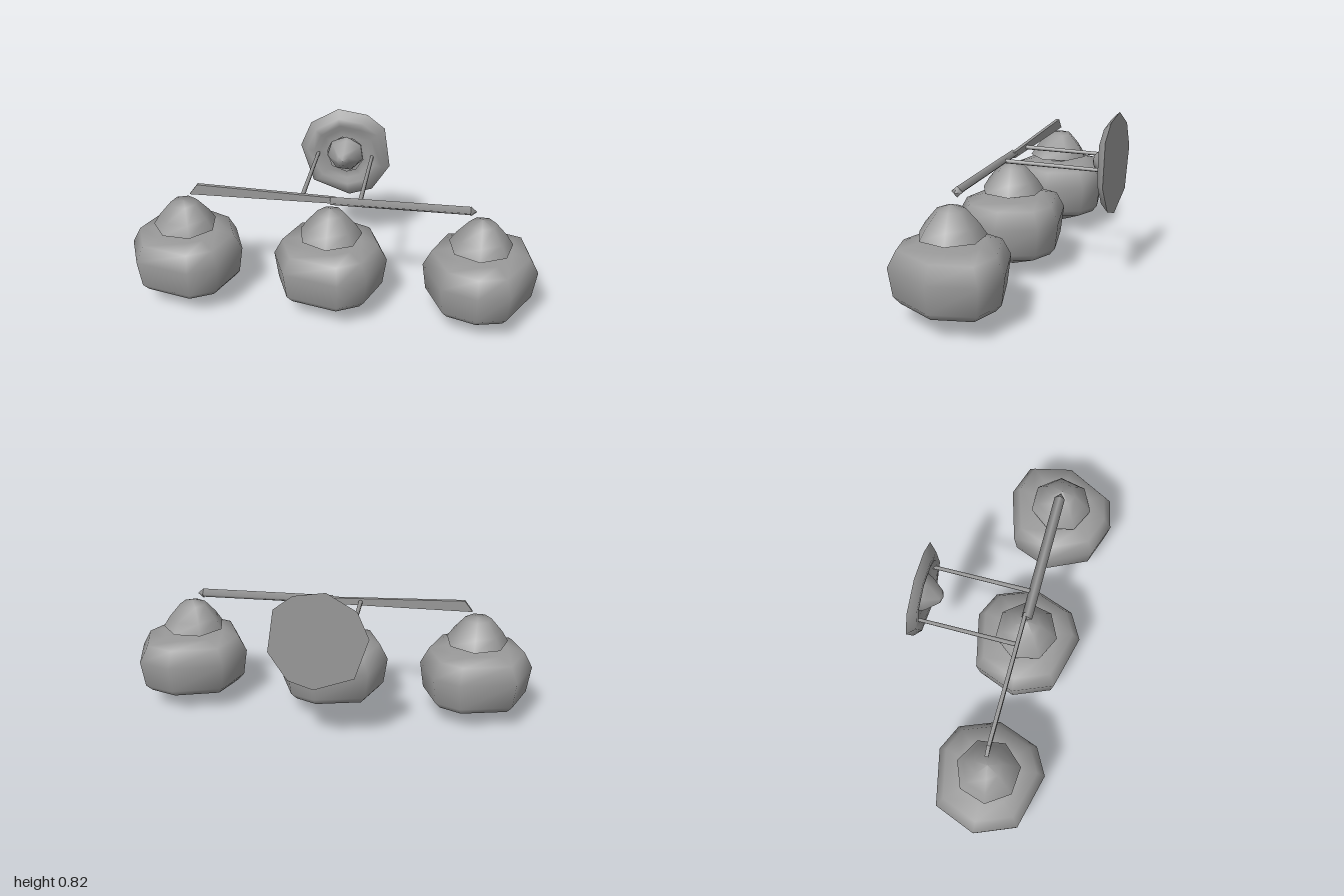
import * as THREE from 'three';

// Joins scaled copies of an outline at [height, scale] levels.
// Repeating a level gives a sharp edge there.
function loft(outline, levels) {
  const n = outline.length, pos = [], index = [];
  for (const [y, s] of levels) for (const [x, z] of outline) pos.push(x * s, y, z * s);
  for (let l = 0; l < levels.length - 1; l++) {
    const [a, b] = [levels[l], levels[l + 1]];
    if (a[0] === b[0] && a[1] === b[1]) continue;
    for (let i = 0; i < n; i++) {
      const j = (i + 1) % n, p = l * n, q = p + n;
      if (a[1] > 0) index.push(p + i, q + i, p + j);
      if (b[1] > 0) index.push(p + j, q + i, q + j);
    }
  }
  const g = new THREE.BufferGeometry();
  g.setAttribute('position', new THREE.Float32BufferAttribute(pos, 3));
  g.setIndex(index);
  g.computeVertexNormals();
  return g;
}

const ring = (n, r, turn) => Array.from({ length: n }, (_, i) => {
  const a = turn + i / n * Math.PI * 2;
  return [r * Math.cos(a), r * Math.sin(a)];
});

export function createModel() {
  const model = new THREE.Group();
  model.name = 'wallLamp';
  const metal = new THREE.MeshStandardMaterial({ color: 0x999999, side: THREE.DoubleSide });
  metal.name = 'grey';
  const add = (parent, name, geometry) => {
    const m = new THREE.Mesh(geometry, metal);
    m.name = name;
    parent.add(m);
    return m;
  };

  // Irregular eight-sided bowl outlines
  const bowlA = [[.07, -.265], [.2, -.205], [.275, -.015], [.2, .19],
    [.07, .262], [-.2, .195], [-.28, 0], [-.2, -.205]];
  const bowlB = [[.07, -.275], [.23, -.22], [.28, 0], [.15, .24],
    [0, .275], [-.17, .215], [-.27, 0], [-.19, -.2]];
  const lamps = [
    { name: 'rightLamp', x: -.72, bowl: bowlA, turn: .3, tip: .527 },
    { name: 'middleLamp', x: 0, bowl: bowlA, turn: Math.PI / 2, tip: .54 },
    { name: 'leftLamp', x: .72, bowl: bowlB, turn: Math.PI / 2, tip: .54 },
  ];

  // Three lamps: bowl, neck and conical cap
  for (const { name, x, bowl, turn, tip } of lamps) {
    const lamp = new THREE.Group();
    lamp.name = name;
    lamp.position.set(x, 0, .125);
    add(lamp, 'bowl', loft(bowl, [[.004, 0], [.1, .82], [.135, .93], [.27, 1],
      [.35, .85], [.37, .55], [.37, 0]]));
    add(lamp, 'neck', loft(ring(7, .062, turn), [[.36, 1], [.405, 1]]));
    add(lamp, 'cap', loft(ring(7, .155, turn), [[.398, 0], [.398, 1], [.398, 1],
      [.45, .79], [.518, .42], [tip, 0]]));
    model.add(lamp);
  }

  // Crossbar: a thin blade on one half, a diamond rod on the other
  const blade = new THREE.Shape([[-.69, .56], [.02, .565], [.02, .595], [-.65, .614]]
    .map(([x, y]) => new THREE.Vector2(x, y)));
  const bladeGeometry = new THREE.ExtrudeGeometry(blade, { depth: .018, bevelEnabled: false });
  add(model, 'rightCrossbar', bladeGeometry).position.z = .102;

  const rod = new THREE.CylinderGeometry(.026, .026, .66, 4);
  rod.scale(.85, 1, 1);
  rod.rotateZ(Math.PI / 2);
  add(model, 'leftCrossbar', rod).position.set(.33, .58, .122);
  const end = new THREE.ConeGeometry(.026, .03, 4);
  end.rotateZ(-Math.PI / 2);
  add(model, 'leftCrossbarTip', end).position.set(.675, .577, .122);

  // Two arms back to the wall plate
  for (const side of [-1, 1]) {
    const arm = new THREE.CylinderGeometry(.011, .009, .49, 6);
    arm.rotateX(Math.PI / 2);
    add(model, side > 0 ? 'leftArm' : 'rightArm', arm).position.set(side * .14, .581, -.143);
  }

  // Wall plate with a raised rim, a shallow groove and a central boss
  const plate = [[-.04, -.243], [.11, -.22], [.2, -.15], [.23, .06], [.14, .2],
    [.02, .24], [-.17, .17], [-.235, -.03], [-.18, -.16]];
  const plateGeometry = loft(plate, [[-.405, 0], [-.405, 1], [-.405, 1], [-.367, .84],
    [-.367, .68], [-.388, .56], [-.385, .4]]);
  plateGeometry.rotateX(Math.PI / 2);
  add(model, 'wallPlate', plateGeometry).position.y = .58;
  const boss = loft(ring(7, .095, .3), [[-.388, 1], [-.36, .88], [-.3, .34], [-.29, 0]]);
  boss.rotateX(Math.PI / 2);
  add(model, 'plateBoss', boss).position.y = .585;

  return model;
}
